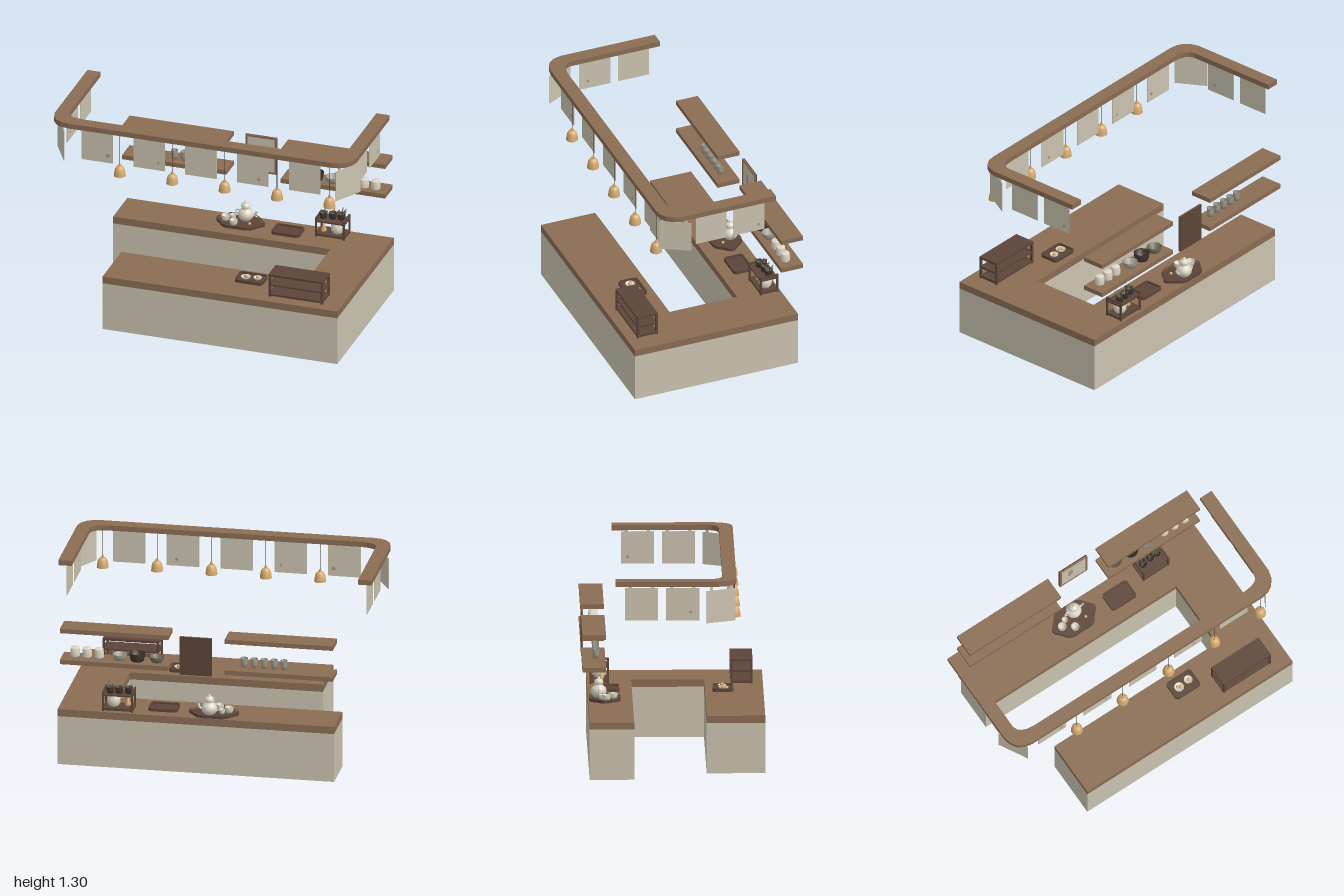
import * as THREE from 'three';

const mat = (name, color, side = THREE.FrontSide) =>
  Object.assign(new THREE.MeshStandardMaterial({ color, side }), { name });

export function createModel() {
  const root = new THREE.Group();
  root.name = 'teaBar';
  const wood = mat('wood', 0x8a6c53), cream = mat('cream', 0xcac2af), dark = mat('darkWood', 0x5c4438),
    white = mat('porcelain', 0xdcd6c6, THREE.DoubleSide), grey = mat('stoneware', 0xa09a8c, THREE.DoubleSide),
    black = mat('darkClay', 0x40332d, THREE.DoubleSide), lamp = mat('lampShade', 0xd6ab70, THREE.DoubleSide),
    print = mat('print', 0xa3977d), green = mat('leaf', 0x6c705a, THREE.DoubleSide),
    olive = mat('oliveClay', 0x6f6a5c, THREE.DoubleSide);

  const group = (name, parent = root) => {
    const g = new THREE.Group();
    g.name = name;
    parent.add(g);
    return g;
  };
  const add = (name, geo, m, x = 0, y = 0, z = 0, parent = root) => {
    const mesh = new THREE.Mesh(geo, m);
    mesh.name = name;
    mesh.position.set(x, y, z);
    parent.add(mesh);
    return mesh;
  };
  // box given by its extents
  const box = (name, m, x0, x1, y0, y1, z0, z1, parent = root) =>
    add(name, new THREE.BoxGeometry(x1 - x0, y1 - y0, z1 - z0), m,
      (x0 + x1) / 2, (y0 + y1) / 2, (z0 + z1) / 2, parent);
  const lathe = (name, m, pts, x, y, z, parent = root, seg = 20) =>
    add(name, new THREE.LatheGeometry(pts.map(p => new THREE.Vector2(...p)), seg), m, x, y, z, parent);
  // horizontal slab from a plan outline drawn with shape y = -z
  const slab = (name, shape, m, y0, y1, parent = root) => {
    const geo = new THREE.ExtrudeGeometry(shape, { depth: y1 - y0, bevelEnabled: false, curveSegments: 4 });
    return add(name, geo.rotateX(-Math.PI / 2), m, 0, y0, 0, parent);
  };
  const plan = pts => new THREE.Shape(pts.map(([x, z]) => new THREE.Vector2(x, -z)));

  // U-shaped counter
  const counter = plan([[-0.79, -0.53], [0.975, -0.53], [0.975, 0.575], [-0.58, 0.575],
    [-0.58, 0.207], [0.65, 0.207], [0.65, -0.25], [-0.79, -0.25]]);
  slab('counterBase', counter, cream, 0, 0.32);
  slab('counterTop', counter, wood, 0.32, 0.367);

  // hanging rail with rounded corners
  const rail = new THREE.Shape();
  rail.moveTo(-1, 0.37);
  rail.lineTo(-1, -0.27);
  rail.quadraticCurveTo(-0.985, -0.385, -0.87, -0.39);
  rail.lineTo(0.87, -0.39);
  rail.quadraticCurveTo(0.985, -0.385, 1, -0.27);
  rail.lineTo(1, 0.37);
  rail.lineTo(0.914, 0.37);
  rail.lineTo(0.914, -0.235);
  rail.quadraticCurveTo(0.905, -0.3, 0.8, -0.303);
  rail.lineTo(-0.8, -0.303);
  rail.quadraticCurveTo(-0.905, -0.3, -0.914, -0.235);
  rail.lineTo(-0.914, 0.37);
  slab('hangingRail', rail, wood, 1.27, 1.304);

  // cloth banners: x, z, turn, drop, optional print position
  const banner = (x, z, turn, drop = 0, mark = null) => {
    const g = group('banner');
    g.position.set(x, 1.152 - drop, z);
    g.rotation.y = turn;
    box('cloth', cream, -0.104, 0.104, -0.103, 0.103, -0.002, 0.002, g);
    for (const s of [-1, 1])
      box('loop', cream, s * 0.07 - 0.011, s * 0.07 + 0.011, 0.103, 0.12 + drop, -0.002, 0.002, g);
    if (mark) {
      const dot = new THREE.CylinderGeometry(mark[2], mark[2], 0.0055, 8).rotateX(Math.PI / 2);
      add('print', dot, print, mark[0], mark[1], 0, g);
      add('print', dot, print, mark[0] - mark[2], mark[1] - mark[2] * 0.7, 0, g).scale.setScalar(0.6);
    }
  };
  const marks = [[0.07, -0.053, 0.014], [0.062, -0.053, 0.009], null, [0.04, -0.06, 0.011], null];
  marks.forEach((m, i) => banner(-0.692 + i * 0.3435, 0.346, 0, 0, m));
  for (const s of [-1, 1]) {
    banner(s * 0.95, 0.293, s * 1.06, 0.012);
    banner(s * 0.957, 0.052, s * Math.PI / 2, 0, s < 0 ? [0.05, -0.05, 0.01] : null);
    banner(s * 0.957, -0.207, s * Math.PI / 2, 0, s > 0 ? [0.062, -0.06, 0.01] : null);
  }

  // pendant lamps
  for (let i = 0; i < 5; i++) {
    const g = group('pendantLamp');
    g.position.set(-0.53 + i * 0.347, 0.993, 0.384);
    add('cord', new THREE.CylinderGeometry(0.0018, 0.0018, 0.21, 6), black, 0, 0.175, 0, g);
    lathe('shade', lamp, [[0.038, 0], [0.036, 0.02], [0.031, 0.045], [0.022, 0.06], [0.01, 0.065], [0, 0.065]], 0, 0, 0, g);
    add('cap', new THREE.CylinderGeometry(0.008, 0.01, 0.016, 10), lamp, 0, 0.072, 0, g);
  }

  // wall shelves
  for (const [x0, x1] of [[-0.79, -0.1], [0.26, 0.952]])
    for (const y of [0.686, 0.893]) box('wallShelf', wood, x0, x1, y, y + 0.029, -0.575, -0.427);

  // framed picture
  const frame = group('picture');
  box('frameBack', dark, -0.018, 0.188, 0.668, 0.921, -0.575, -0.568, frame);
  box('canvas', cream, -0.005, 0.175, 0.68, 0.909, -0.568, -0.563, frame);
  for (const [x0, x1, y0, y1] of [[-0.018, -0.005, 0.668, 0.921], [0.175, 0.188, 0.668, 0.921],
    [-0.005, 0.175, 0.668, 0.68], [-0.005, 0.175, 0.909, 0.921]])
    box('frameEdge', wood, x0, x1, y0, y1, -0.568, -0.56, frame);
  for (const [x, y, r] of [[0.06, 0.835, 0.017], [0.065, 0.805, 0.02], [0.06, 0.78, 0.016]])
    add('inkMark', new THREE.CylinderGeometry(r, r, 0.002, 10).rotateX(Math.PI / 2), print, x, y, -0.5625, frame);

  // open vessel with a wall: bottom radius, top radius, height
  const vessel = (name, m, r0, r1, h, x, y, z, parent = root) =>
    lathe(name, m, [[0, 0], [r0, 0], [r0 + (r1 - r0) * 0.65, h * 0.4], [r1, h], [r1 * 0.88, h],
      [r0 * 0.8, h * 0.2], [0, h * 0.2]], x, y, z, parent);
  const ware = group('shelfWare');
  for (let i = 0; i < 5; i++) vessel('cup', grey, 0.016, 0.023, 0.06, -0.463 + i * 0.0635, 0.715, -0.487, ware);
  vessel('bowl', olive, 0.032, 0.048, 0.037, 0.348, 0.715, -0.495, ware);
  vessel('bowl', black, 0.04, 0.05, 0.05, 0.472, 0.715, -0.495, ware);
  vessel('bowl', grey, 0.034, 0.048, 0.037, 0.584, 0.715, -0.495, ware);
  for (let i = 0; i < 3; i++)
    lathe('jar', white, [[0, 0], [0.027, 0], [0.03, 0.006], [0.03, 0.042], [0.026, 0.046], [0.028, 0.05],
      [0.026, 0.06], [0, 0.061]], 0.717 + i * 0.077, 0.715, -0.487, ware);

  // scalloped tea tray with raised rim
  const scallop = k => {
    const pts = [];
    for (let i = 0; i < 48; i++) {
      const a = i / 48 * Math.PI * 2, r = k * (0.95 + 0.05 * Math.cos(a * 6));
      pts.push([-0.004 + 0.16 * r * Math.cos(a), -0.425 + 0.108 * r * Math.sin(a)]);
    }
    return plan(pts);
  };
  const tea = group('teaSet');
  slab('trayFloor', scallop(0.96), dark, 0.367, 0.377, tea);
  const rim = scallop(1);
  rim.holes.push(scallop(0.92));
  slab('trayRim', rim, dark, 0.367, 0.386, tea);

  // teapot
  const pot = group('teapot', tea);
  pot.position.set(0.018, 0.377, -0.462);
  lathe('potBody', white, [[0, 0], [0.03, 0], [0.046, 0.018], [0.05, 0.04], [0.043, 0.062], [0.026, 0.075],
    [0.024, 0.082], [0.031, 0.092], [0.026, 0.108], [0.012, 0.116], [0.007, 0.12], [0.009, 0.127], [0, 0.131]], 0, 0, 0, pot);
  const tube = (name, m, pts, r, parent) => add(name, new THREE.TubeGeometry(
    new THREE.CatmullRomCurve3(pts.map(p => new THREE.Vector3(...p))), 10, r, 8), m, 0, 0, 0, parent);
  tube('spout', white, [[0.04, 0.03, 0], [0.062, 0.04, 0], [0.07, 0.062, 0.004]], 0.008, pot);
  tube('handle', white, [[-0.035, 0.065, 0], [-0.062, 0.06, 0], [-0.06, 0.03, 0], [-0.042, 0.022, 0]], 0.005, pot);
  for (const [x, z, r, h] of [[-0.1, -0.415, 0.028, 0.036], [-0.032, -0.37, 0.027, 0.034], [-0.06, -0.445, 0.02, 0.03]])
    vessel('teaCup', white, r * 0.7, r, h, x, 0.377, z, tea);
  add('sweet', new THREE.SphereGeometry(0.01, 10, 8), lamp, 0.065, 0.385, -0.395, tea);

  // rounded serving trays
  const rounded = (x0, x1, z0, z1, r) => {
    const s = new THREE.Shape();
    s.absarc(x1 - r, -z1 + r, r, -Math.PI / 2, 0);
    s.absarc(x1 - r, -z0 - r, r, 0, Math.PI / 2);
    s.absarc(x0 + r, -z0 - r, r, Math.PI / 2, Math.PI);
    s.absarc(x0 + r, -z1 + r, r, Math.PI, Math.PI * 1.5);
    return s;
  };
  for (const [z0, z1] of [[-0.46, -0.33], [0.256, 0.386]]) {
    const g = group('servingTray');
    const edge = rounded(0.226, 0.412, z0, z1, 0.022);
    edge.holes.push(rounded(0.236, 0.402, z0 + 0.01, z1 - 0.01, 0.014));
    slab('trayEdge', edge, dark, 0.367, 0.387, g);
    slab('trayFloor', rounded(0.23, 0.408, z0 + 0.004, z1 - 0.004, 0.018), dark, 0.367, 0.376, g);
  }
  const snacks = group('snacks');
  vessel('dish', white, 0.02, 0.032, 0.014, 0.285, 0.376, 0.325, snacks);
  vessel('dish', white, 0.018, 0.028, 0.014, 0.36, 0.376, 0.315, snacks);
  for (const [x, z] of [[0.278, 0.32], [0.293, 0.33], [0.36, 0.315]])
    add('cake', new THREE.SphereGeometry(0.011, 10, 8), lamp, x, 0.39, z, snacks);

  // open post-and-board rack
  const rack = (name, m, x0, x1, z0, z1, top, mid, t) => {
    const g = group(name);
    for (const x of [x0, x1 - t]) {
      for (const z of [z0, z1 - t]) box('post', m, x, x + t, 0.367, top, z, z + t, g);
      for (const y of [0.375, mid, top - t]) box('sideRail', m, x, x + t, y, y + t, z0, z1, g);
    }
    box('lowerBoard', m, x0, x1, 0.373, 0.386, z0 + 0.002, z1 - 0.002, g);
    box('middleBoard', m, x0, x1, mid, mid + 0.01, z0 + 0.002, z1 - 0.002, g);
    return g;
  };
  const cabinet = rack('displayRack', dark, 0.497, 0.856, 0.37, 0.51, 0.522, 0.442, 0.014);
  box('topBoard', dark, 0.497, 0.856, 0.508, 0.523, 0.37, 0.51, cabinet);

  // plant stand with pots and bowls
  const stand = rack('plantStand', dark, 0.5, 0.695, -0.512, -0.39, 0.498, 0.378, 0.011);
  box('topBoard', dark, 0.5, 0.695, 0.468, 0.477, -0.51, -0.392, stand);
  lathe('bigJar', white, [[0, 0], [0.03, 0], [0.041, 0.02], [0.041, 0.05], [0.03, 0.064], [0.033, 0.07], [0, 0.072]],
    0.63, 0.388, -0.45, stand);
  lathe('flask', lamp, [[0, 0], [0.015, 0], [0.019, 0.014], [0.008, 0.035], [0.008, 0.05], [0, 0.05]],
    0.542, 0.388, -0.44, stand);
  for (const [x, z, leaves] of [[0.535, -0.45, 3], [0.595, -0.46, 3], [0.65, -0.465, 7]]) {
    vessel('plantPot', black, 0.02, 0.026, 0.04, x, 0.477, z, stand);
    for (let i = 0; i < leaves; i++) {
      const a = i * 2.4, tall = leaves > 3 ? 1 : 0.5;
      const leaf = add('leaf', new THREE.SphereGeometry(0.011, 8, 6), green,
        x + Math.cos(a) * 0.022, 0.513 + tall * (0.012 + 0.005 * (i % 4)), z + Math.sin(a) * 0.022, stand);
      leaf.scale.set(0.5, 1.4, 0.3);
      leaf.rotation.set(Math.sin(a) * 0.7, -a, -Math.cos(a) * 0.7);
      tube('stem', green, [[x, 0.49, z], [x + Math.cos(a) * 0.01, 0.505, z + Math.sin(a) * 0.01],
        leaf.position.toArray()], 0.0018, stand);
    }
  }
  return root;
}
